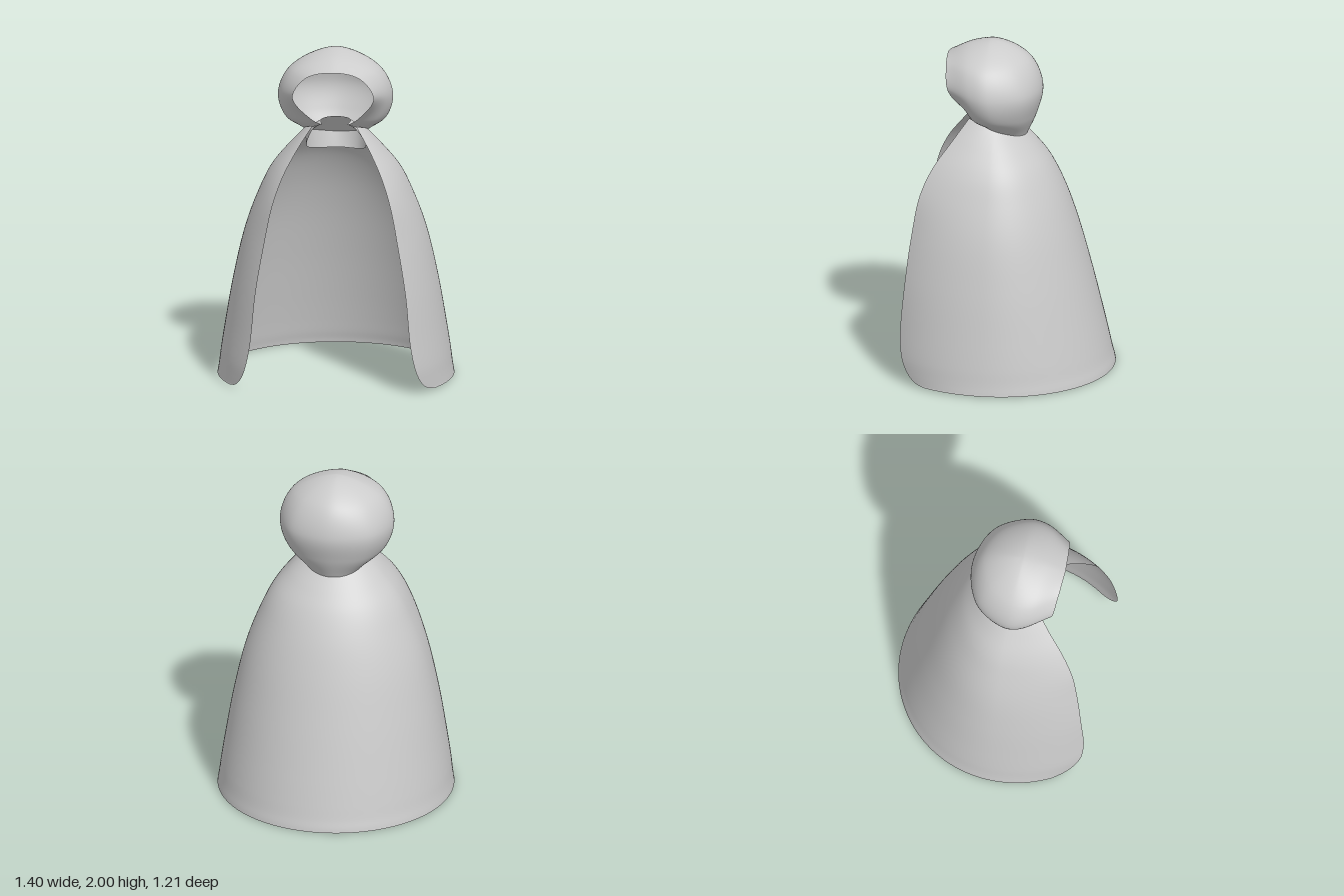
import * as THREE from 'three';
import { mergeVertices } from 'three/addons/utils/BufferGeometryUtils.js';

const material = new THREE.MeshStandardMaterial({ color: 0xcccccc, side: THREE.DoubleSide });
const V = (x, y, z) => new THREE.Vector3(x, y, z);
const curve = (points) => new THREE.CatmullRomCurve3(points.map((p) => V(...p)));
// Rail from the left front, around the back, to the right front.
const rail = (half) => curve([...half, ...half.slice(0, -1).reverse().map(([x, y, z]) => [-x, y, z])]);

// Smooth sheet from a rule point(u, v).
function sheet(name, nu, nv, point) {
  const positions = [], index = [];
  for (let j = 0; j <= nv; j++) {
    for (let i = 0; i <= nu; i++) positions.push(...point(i / nu, j / nv));
  }
  for (let j = 0; j < nv; j++) {
    for (let i = 0; i < nu; i++) {
      const a = j * (nu + 1) + i, b = a + 1, c = b + nu + 1, d = a + nu + 1;
      index.push(a, c, b, a, d, c);
    }
  }
  const geometry = new THREE.BufferGeometry();
  geometry.setAttribute('position', new THREE.Float32BufferAttribute(positions, 3));
  geometry.setIndex(index);
  const merged = mergeVertices(geometry, 1e-5);
  merged.computeVertexNormals();
  const mesh = new THREE.Mesh(merged, material);
  mesh.name = name;
  return mesh;
}

// Straight sheet between two rails.
const ruled = (name, lower, upper) => sheet(name, 80, 6, (u, v) =>
  lower.getPoint(u).lerp(upper.getPoint(u), v).toArray());

// Cape: open rings from hem to neckline, each split at the front.
function cape() {
  const centreZ = 0.09;
  // half width, back height, back z
  const back = curve([
    [0.70, 0, -0.605], [0.697, 0.025, -0.6], [0.69, 0.07, -0.588], [0.68, 0.15, -0.57],
    [0.657, 0.3, -0.535], [0.605, 0.6, -0.46], [0.535, 0.9, -0.375], [0.458, 1.1, -0.303],
    [0.382, 1.25, -0.228], [0.285, 1.35, -0.155], [0.185, 1.43, -0.085],
  ]);
  // front edge x, y, z with a rounded lower corner
  const front = curve([
    [0.61, 0.01, 0.44], [0.57, 0.025, 0.50], [0.535, 0.07, 0.55], [0.505, 0.15, 0.588],
    [0.475, 0.3, 0.602], [0.445, 0.6, 0.58], [0.395, 0.9, 0.545], [0.35, 1.12, 0.505],
    [0.293, 1.28, 0.435], [0.215, 1.42, 0.335], [0.13, 1.545, 0.243],
  ]);
  return sheet('cape', 96, 80, (u, v) => {
    const b = back.getPoint(v), f = front.getPoint(v);
    const edge = Math.PI - Math.asin(f.x / b.x);
    const t = (1 - 2 * u) * edge, c = Math.cos(t);
    const depth = c > 0 ? centreZ - b.z : (f.z - centreZ) / -Math.cos(edge);
    const rise = (1 - c) / (1 - Math.cos(edge));
    return [b.x * Math.sin(t), b.y + (f.y - b.y) * rise, centreZ - depth * c];
  });
}

// Neckline shared by the hood, the lip and the collar.
const neckline = rail([
  [0.08, 1.55, 0.22], [0.155, 1.515, 0.165], [0.185, 1.485, 0.075], [0.13, 1.45, -0.035], [0, 1.43, -0.085],
]);

// Hood: meridians from the neckline to the crown, through rails from rim to back.
function hood() {
  const rails = [
    neckline,
    rail([[0.135, 1.59, 0.255], [0.262, 1.58, 0.20], [0.298, 1.575, 0.09], [0.20, 1.56, -0.075], [0, 1.56, -0.142]]),
    rail([[0.24, 1.75, 0.355], [0.322, 1.73, 0.215], [0.338, 1.72, 0.10], [0.235, 1.72, -0.095], [0, 1.72, -0.175]]),
    rail([[0.16, 1.872, 0.378], [0.25, 1.885, 0.24], [0.26, 1.89, 0.12], [0.17, 1.895, -0.03], [0, 1.90, -0.098]]),
    rail([[0, 1.91, 0.39], [0, 1.97, 0.27], [0, 2.0, 0.14], [0, 2.0, 0.13], [0, 2.0, 0.125]]),
  ];
  return sheet('hood', 96, 48, (u, v) => {
    const points = rails.map((r) => r.getPoint(u));
    const [upper, top] = points.slice(-2);
    // A point beyond the crown keeps the top rounded.
    points.push(V(2 * top.x - upper.x, upper.y, 2 * top.z - upper.z));
    return new THREE.CatmullRomCurve3(points).getPoint(v * 0.8).toArray();
  });
}

// Lip: turned-in edge rising from the neckline inside the hood.
const lipEdge = rail([
  [0.075, 1.55, 0.215], [0.085, 1.55, 0.15], [0.085, 1.55, 0.09], [0.06, 1.55, 0.045], [0, 1.55, 0.02],
]);

// Collar: inner band hanging below the neckline, tapering to the front tips.
const collarEdge = rail([
  [0.12, 1.54, 0.24], [0.155, 1.46, 0.15], [0.175, 1.37, 0.05], [0.12, 1.34, -0.03], [0, 1.34, -0.06],
]);

export function createModel() {
  const group = new THREE.Group();
  group.name = 'hoodedCape';
  group.add(cape(), hood(), ruled('neckLip', neckline, lipEdge), ruled('collar', collarEdge, neckline));
  return group;
}
